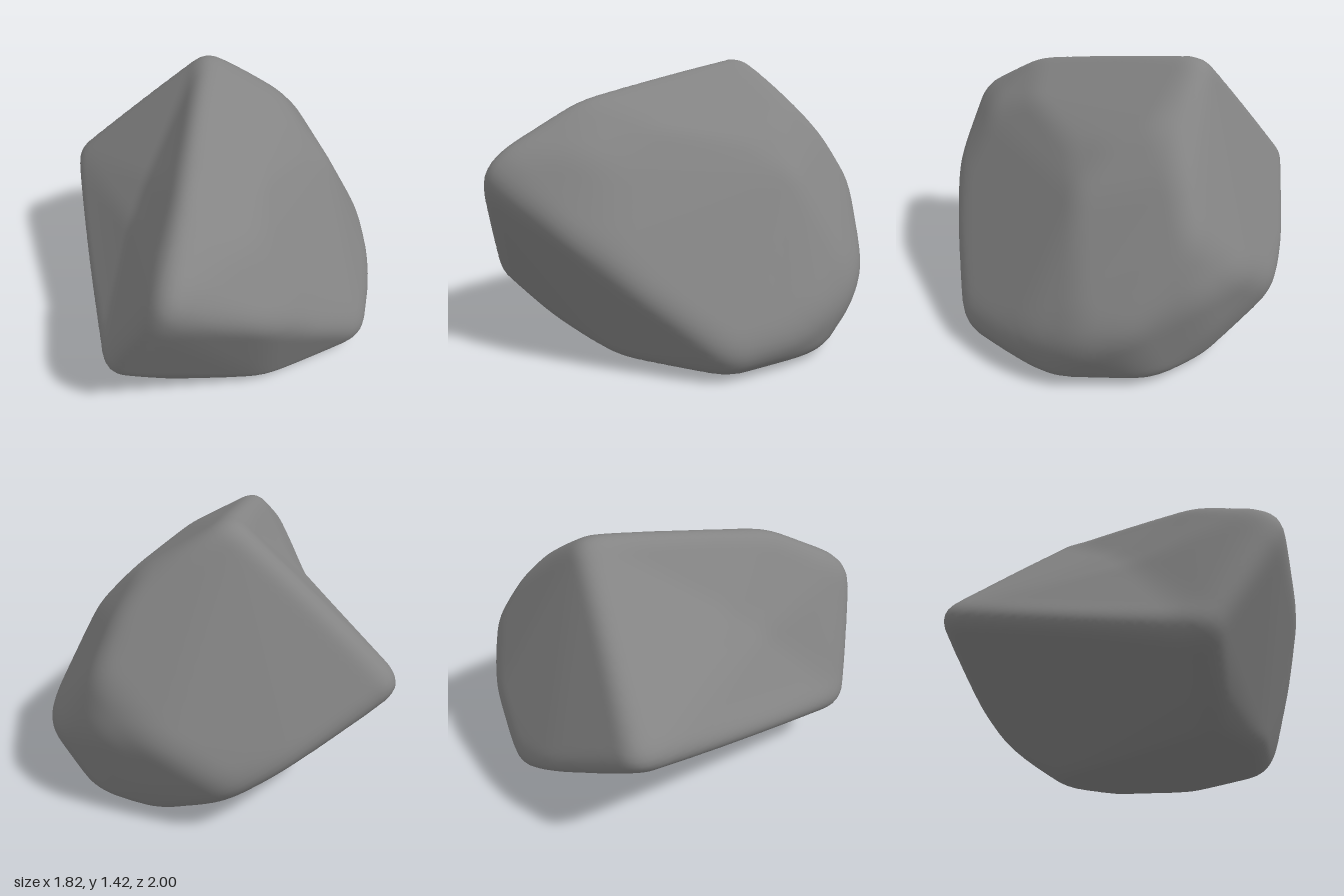
import * as THREE from 'three';
import { ConvexGeometry } from 'three/addons/geometries/ConvexGeometry.js';
import { mergeVertices } from 'three/addons/utils/BufferGeometryUtils.js';

// Key corners of the boulder
const core = [
  [-0.13, 1.47, -0.54],                                                 // peak
  [-0.41, 0.3, 0.88], [-0.15, 0.09, 0.66],                              // low front edge
  [0.42, 0.69, 0.77], [0.53, 0.66, 0.59], [0.66, 0.44, 0.5],            // front edge running down
  [0, 0, 0.5], [0, 0, -0.65], [0.2, 0, -0.85], [0.5, 0, -0.8],          // flat base
  [0.83, 0, 0.12], [0.83, 0, -0.42], [0.4, 0, 0.47],
  [0.925, 0.15, 0.16], [0.94, 0.17, -0.12], [0.925, 0.25, -0.32],       // low side bulge
  [0.845, 0.26, -0.62], [0.82, 0.42, -0.6], [0.72, 0.38, -0.8],
  [0.27, 1.04, 0.6], [0.36, 0.98, 0.5], [0.3, 1.15, 0.22],              // rounded shoulder
  [0.45, 1.06, -0.2], [0.41, 1.11, -0.42], [0.28, 1.21, -0.6], [0.61, 0.9, -0.4],
  [0.35, 1.04, -0.79], [0.42, 0.82, -0.92],                             // back edge
  [0.42, 0.5, -0.97], [0.1, 0.52, -1.02],                               // back bulge
  [-0.2, 0.33, -1], [-0.2, 0.2, -0.95], [0.25, 0.2, -0.93], [-0.5, 0.4, -0.88],
];
const nose = [[-0.05, 1.36, 0], [-0.03, 1.285, 0.52], [-0.03, 1.03, 1.025], [-0.03, 0.9, 1.045]];
const side = [[-0.99, 0.7, -0.55]];

const centre = new THREE.Vector3(0.05, 0.6, -0.1);

// Returns a function giving the distance from the centre to the hull of the points
function hullReach(points) {
  const hull = new ConvexGeometry(points.map((p) => new THREE.Vector3(...p).sub(centre)));
  const pos = hull.attributes.position;
  const planes = [];
  const tri = new THREE.Triangle();
  for (let i = 0; i < pos.count; i += 3) {
    tri.setFromAttributeAndIndices(pos, i, i + 1, i + 2);
    if (tri.getArea() < 1e-5) continue;
    const normal = tri.getNormal(new THREE.Vector3());
    planes.push({ normal, dist: normal.dot(tri.a) });
  }
  return (dir) => {
    let r = Infinity;
    for (const { normal, dist } of planes) {
      const c = normal.dot(dir);
      if (c > 1e-4) r = Math.min(r, dist / c);
    }
    return r;
  };
}

// Sphere pushed out to the hull; averaging nearby hits rounds the edges
function boulderGeometry() {
  const full = hullReach([...core, ...nose, ...side]);
  const withNose = hullReach([...core, ...nose]);
  const withSide = hullReach([...core, ...side]);
  // Halfway between bulging and creased, the face between nose and side is a saddle
  const hit = (dir) => dir.multiplyScalar((full(dir) + Math.max(withNose(dir), withSide(dir))) / 2);

  let geo = new THREE.IcosahedronGeometry(1, 34);
  geo.deleteAttribute('normal');
  geo.deleteAttribute('uv');
  geo = mergeVertices(geo, 1e-4);
  const pos = geo.attributes.position;
  const dir = new THREE.Vector3(), u = new THREE.Vector3(), v = new THREE.Vector3();
  for (let i = 0; i < pos.count; i++) {
    dir.fromBufferAttribute(pos, i).normalize();
    u.set(0.31, 0.87, 0.38).cross(dir).normalize();
    v.crossVectors(dir, u);
    const sum = hit(dir.clone());
    let n = 1;
    for (const [spread, count] of [[0.045, 6], [0.09, 12]]) {
      for (let k = 0; k < count; k++, n++) {
        const a = (k / count) * Math.PI * 2;
        sum.add(hit(dir.clone()
          .addScaledVector(u, Math.cos(a) * spread)
          .addScaledVector(v, Math.sin(a) * spread)));
      }
    }
    sum.divideScalar(n).add(centre);
    pos.setXYZ(i, sum.x, sum.y, sum.z);
  }
  geo.computeVertexNormals();
  return geo;
}

export function createModel() {
  const group = new THREE.Group();
  const boulder = new THREE.Mesh(
    boulderGeometry(),
    new THREE.MeshStandardMaterial({ color: 0x848484 }),
  );
  boulder.name = 'boulder';
  group.add(boulder);
  return group;
}
